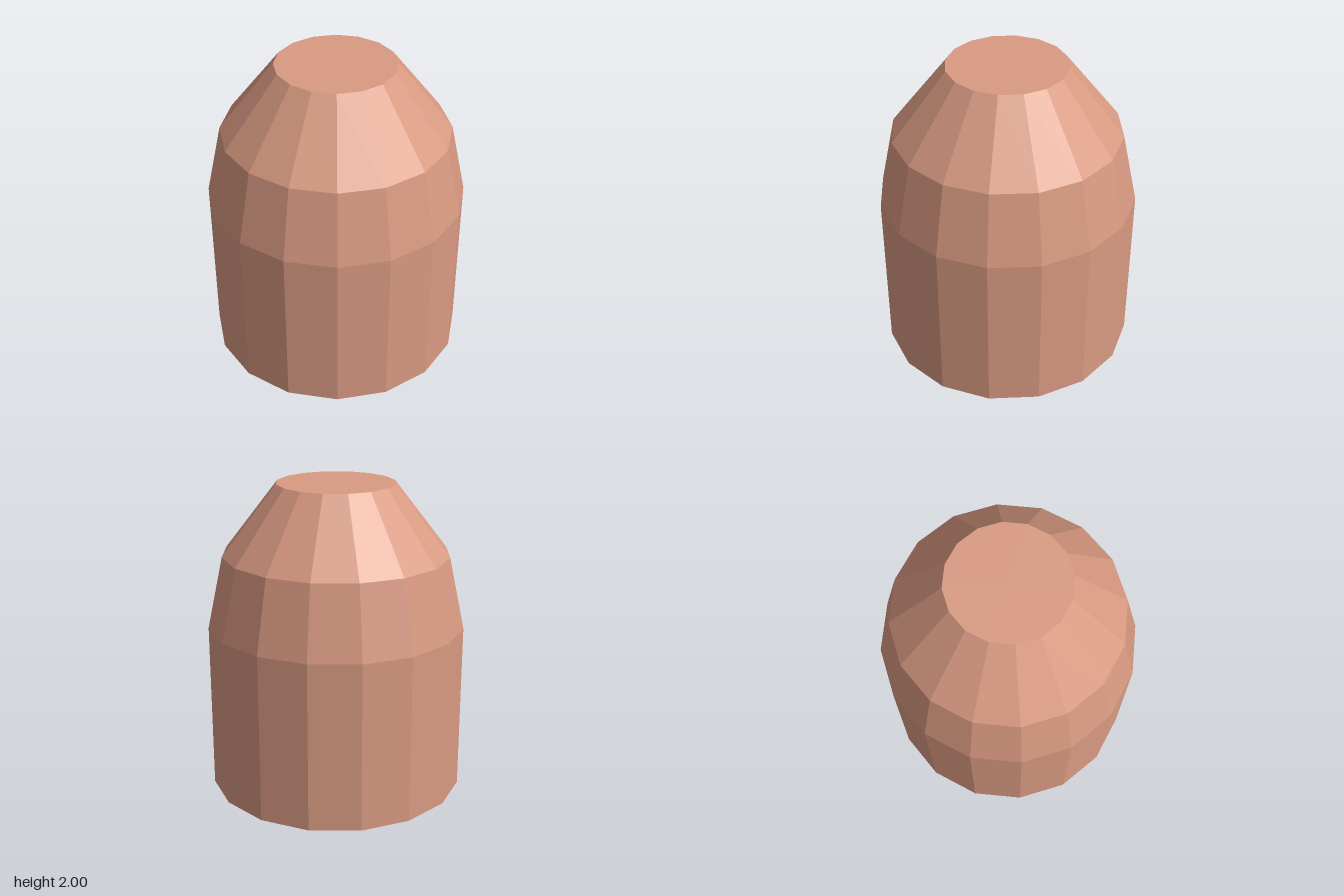
import * as THREE from 'three';

const SIDES = 16;

export function createModel() {
  const group = new THREE.Group();
  const material = new THREE.MeshStandardMaterial({ color: 0xd99a82, flatShading: true });

  // Profile from the centre of the hollow base, round the outside, to the flat tip
  const profile = [
    [0, 0.12], [0.32, 0.12], // hollow floor
    [0.545, 0], [0.83, 0], // base rim
    [0.83, 1.09], // straight wall
    [0.73, 1.55], // shoulder
    [0.38, 2], [0, 2], // nose and flat tip
  ].map(([r, y]) => new THREE.Vector2(r, y));

  const body = new THREE.Mesh(new THREE.LatheGeometry(profile, SIDES), material);
  body.name = 'taperedBody';
  group.add(body);
  return group;
}
